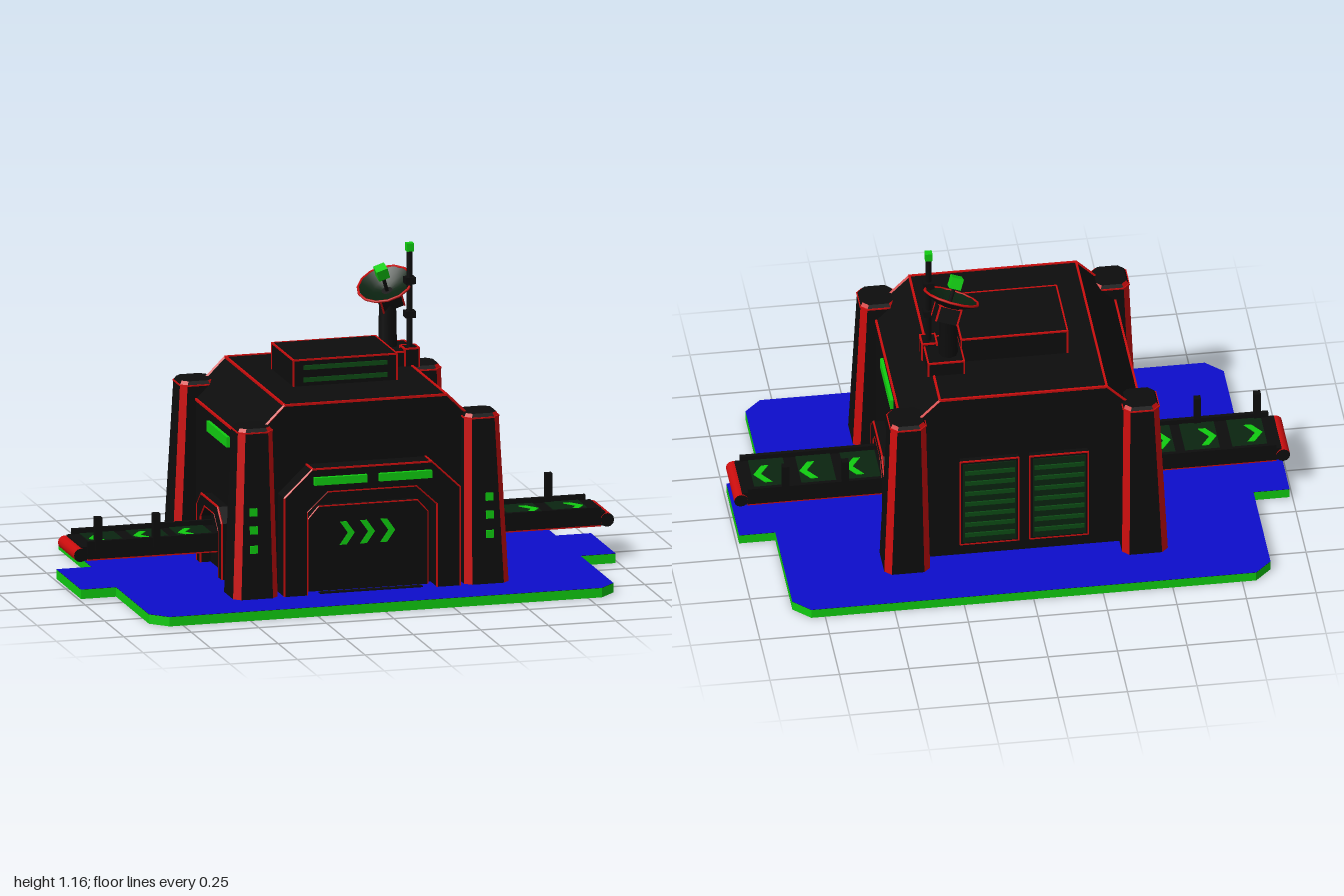
import * as THREE from 'three';

const mat = (name, color) => Object.assign(new THREE.MeshStandardMaterial({ color }), { name });
const V = (x, y, z) => new THREE.Vector3(x, y, z);

export function createModel() {
  const model = new THREE.Group();
  const black = mat('black', 0x0d0d0d), red = mat('red', 0xcc0d0d), green = mat('green', 0x10cc10);
  const blue = mat('blue', 0x0d0dcc), darkGreen = mat('dark green', 0x0a2410), midGreen = mat('mid green', 0x0c4a14);
  const dishGreen = mat('dish green', 0x0a2210);
  dishGreen.side = THREE.DoubleSide;

  const add = (name, geo, material, x = 0, y = 0, z = 0, parent = model) => {
    const m = new THREE.Mesh(geo, material);
    m.name = name;
    m.position.set(x, y, z);
    parent.add(m);
    return m;
  };
  const box = (name, w, h, d, material, x, y, z, parent) =>
    add(name, new THREE.BoxGeometry(w, h, d), material, x, y, z, parent);
  const group = (name, parent = model) => {
    const g = new THREE.Group();
    g.name = name;
    parent.add(g);
    return g;
  };
  // thin red trim along a run of points
  const trim = (name, pts, parent = model, closed = false, t = 0.008) => {
    for (let i = 0; i < pts.length - (closed ? 0 : 1); i++) {
      const a = pts[i], d = pts[(i + 1) % pts.length].clone().sub(a);
      const m = box(name, t, t, d.length() + t * 0.5, red, 0, 0, 0, parent);
      m.position.copy(a).addScaledVector(d, 0.5);
      m.quaternion.setFromUnitVectors(V(0, 0, 1), d.normalize());
    }
  };
  const boxTrim = (name, w, h, d, x, y, z, parent) => {
    const ring = (yy) => [[-1, -1], [1, -1], [1, 1], [-1, 1]].map(([a, b]) => V(x + a * w / 2, yy, z + b * d / 2));
    const top = ring(y + h / 2), low = ring(y - h / 2);
    trim(name, top, parent, true, 0.006);
    top.forEach((p, i) => trim(name, [p, low[i]], parent, false, 0.006));
  };
  const shape = (pts) => new THREE.Shape(pts.map((p) => new THREE.Vector2(p[0], p[1])));
  const prism = (pts, depth) => new THREE.ExtrudeGeometry(shape(pts), { depth, bevelEnabled: false });
  const arch = (w, h, cx, cy, y0 = 0.035) =>
    [[-w, y0], [-w, h - cy], [-w + cx, h], [w - cx, h], [w, h - cy], [w, y0]];
  const at = (pts, z) => pts.map((p) => V(p[0], p[1], z));
  const chevron = (w, h, s) =>
    prism([[0, h / 2], [s, h / 2], [w, 0], [s, -h / 2], [0, -h / 2], [w - s, 0]], 0.006);

  // base plate with side tabs
  const corner = [[0.99, 0.16], [0.86, 0.16], [0.86, 0.585], [0.8, 0.645]];
  const flip = (a, sx, sy) => a.map(([x, y]) => [x * sx, y * sy]);
  const plan = [...corner, ...flip(corner, -1, 1).reverse(), ...flip(corner, -1, -1), ...flip(corner, 1, -1).reverse()];
  add('basePlate', prism(plan, 0.034), [black, green]).rotation.x = -Math.PI / 2;
  add('baseTop', new THREE.ShapeGeometry(shape(plan)), blue, 0, 0.035, 0).rotation.x = -Math.PI / 2;

  // main hall
  const hall = [[-0.43, 0.035], [-0.43, 0.585], [-0.3, 0.715], [0.3, 0.715], [0.43, 0.585], [0.43, 0.035]];
  add('hall', prism(hall, 0.77), black, 0, 0, -0.385);
  for (const z of [-0.383, 0.383]) trim('roofEndTrim', at(hall.slice(1, 5), z));
  for (const [x, y] of hall.slice(1, 5)) trim('roofTrim', [V(x, y, -0.385), V(x, y, 0.385)]);

  // tapered corner pillars with red chamfers
  const pillar = (sx, sz) => {
    const ring = (y, x0, x1, z0, z1, c) =>
      [[x0 + c, z0], [x1 - c, z0], [x1, z0 + c], [x1, z1 - c], [x1 - c, z1], [x0 + c, z1], [x0, z1 - c], [x0, z0 + c]]
        .map(([x, z]) => V(x * sx, y, z * sz));
    const rings = [ring(0.035, 0.345, 0.51, 0.31, 0.475, 0.024), ring(0.635, 0.355, 0.483, 0.31, 0.44, 0.022),
      ring(0.65, 0.363, 0.475, 0.318, 0.432, 0.02)];
    const faces = [[], []];
    const tri = (k, a, b, c) => faces[k].push(...(sx * sz > 0 ? [a, b, c] : [a, c, b]));
    for (let r = 0; r < 2; r++) for (let i = 0; i < 8; i++) {
      const j = (i + 1) % 8, [a, b, c, d] = [rings[r][i], rings[r][j], rings[r + 1][j], rings[r + 1][i]];
      tri(i % 2, a, c, b);
      tri(i % 2, a, d, c);
    }
    for (let i = 1; i < 7; i++) tri(0, rings[2][0], rings[2][i + 1], rings[2][i]);
    faces.forEach((f, k) => {
      const g = new THREE.BufferGeometry().setFromPoints(f);
      g.computeVertexNormals();
      add(k ? 'pillarChamfers' : 'pillar', g, k ? red : black);
    });
    trim('pillarTopTrim', rings[1], model, true, 0.005);
  };
  for (const sx of [-1, 1]) for (const sz of [-1, 1]) pillar(sx, sz);
  for (const s of [-1, 1]) for (const y of [0.215, 0.285, 0.35])
    box('pillarLight', 0.028, 0.028, 0.012, green, s * 0.437, y, 0.475 - (y - 0.035) * 0.058);

  // portal frame, open towards the ground, facing +z
  const portal = (name, outer, inner, z0, depth, parent) => {
    add(name, prism([...outer, ...[...inner].reverse()], depth), black, 0, 0, z0, parent);
    trim(name + 'Trim', at(outer, z0 + depth - 0.002), parent, false, 0.006);
    trim(name + 'Trim', at(inner, z0 + depth - 0.002), parent, false, 0.005);
  };

  // front gate
  portal('gateFrame', arch(0.325, 0.495, 0.105, 0.1), arch(0.24, 0.41, 0.075, 0.07), 0.385, 0.085);
  for (const s of [-1, 1]) {
    trim('gateSlopeTrim', [V(s * 0.22, 0.495, 0.385), V(s * 0.22, 0.495, 0.47)], model, false, 0.006);
    box('gateLight', 0.195, 0.028, 0.02, green, s * 0.12, 0.453, 0.476);
  }
  const door = arch(0.222, 0.345, 0.04, 0.045);
  add('gateDoor', prism(door, 0.03), black, 0, 0, 0.385);
  trim('gateDoorTrim', at(door, 0.414), model, false, 0.004);
  for (const x of [-0.105, -0.03, 0.045]) add('gateChevron', chevron(0.055, 0.085, 0.025), green, x, 0.242, 0.412);
  box('gateThreshold', 0.38, 0.006, 0.02, black, 0, 0.037, 0.45);

  // side portals, wall lights and conveyors
  for (const s of [-1, 1]) {
    const side = group('sidePortal');
    side.rotation.y = s * Math.PI / 2;
    portal('sideFrame', arch(0.16, 0.29, 0.053, 0.05), arch(0.118, 0.255, 0.053, 0.05), 0.43, 0.04, side);
    box('wallLight', 0.26, 0.038, 0.02, green, 0, 0.53, 0.432, side);

    const belt = group('conveyor');
    belt.rotation.y = s > 0 ? 0 : Math.PI;
    box('conveyorBed', 0.54, 0.05, 0.2, black, 0.7, 0.15, 0, belt);
    for (const z of [-0.1, 0.1]) {
      box('conveyorRail', 0.52, 0.065, 0.014, black, 0.69, 0.162, z, belt);
      trim('conveyorTrim', [V(0.47, 0.127, z * 1.04), V(0.95, 0.127, z * 1.04)], belt, false, 0.005);
    }
    for (const x of [0.53, 0.69, 0.86]) box('beltPanel', 0.125, 0.004, 0.184, darkGreen, x, 0.176, 0, belt);
    for (const x of [0.525, 0.69, 0.855])
      add('beltChevron', chevron(0.06, 0.1, 0.026), green, x, 0.175, 0, belt).rotation.x = -Math.PI / 2;
    const roller = add('endRoller', new THREE.CylinderGeometry(0.025, 0.025, 0.21, 12), [red, black, black], 0.975, 0.146, 0, belt);
    roller.rotation.x = Math.PI / 2;
    for (const x of s > 0 ? [0.6, 0.815] : [0.695, 0.91])
      box('conveyorPost', 0.025, 0.12, 0.025, black, x, 0.222, -0.1, belt);
  }

  // louvred panels on the back wall
  for (const x of [-0.125, 0.125]) {
    box('louvreFrame', 0.21, 0.36, 0.03, black, x, 0.275, -0.395);
    trim('louvreTrim', [[-1, 0.095], [-1, 0.455], [1, 0.455], [1, 0.095]].map(([a, y]) => V(x + a * 0.105, y, -0.409)),
      model, true, 0.005);
    box('louvrePanel', 0.19, 0.34, 0.006, darkGreen, x, 0.275, -0.412);
    for (let i = 0; i < 7; i++) box('louvreSlat', 0.18, 0.016, 0.009, midGreen, x, 0.14 + i * 0.045, -0.416);
  }

  // roof unit
  box('roofUnit', 0.385, 0.1, 0.28, black, 0, 0.762, -0.02);
  boxTrim('roofUnitTrim', 0.382, 0.097, 0.278, 0, 0.762, -0.02);
  for (const y of [0.738, 0.783]) box('roofVent', 0.31, 0.016, 0.009, midGreen, 0, y, 0.122);

  // antenna
  box('mastFoot', 0.13, 0.055, 0.165, black, 0.255, 0.742, -0.15);
  boxTrim('mastFootTrim', 0.128, 0.053, 0.163, 0.255, 0.742, -0.15);
  box('antennaFoot', 0.055, 0.07, 0.06, black, 0.3, 0.745, -0.095);
  boxTrim('antennaFootTrim', 0.053, 0.068, 0.058, 0.3, 0.745, -0.095);
  add('antennaPole', new THREE.CylinderGeometry(0.011, 0.011, 0.38, 8), black, 0.3, 0.95, -0.096);
  for (const y of [0.9, 1.023]) box('antennaClamp', 0.038, 0.024, 0.038, black, 0.3, y, -0.096);
  box('antennaTip', 0.026, 0.03, 0.026, green, 0.3, 1.145, -0.096);

  // dish on its mast
  add('dishMast', new THREE.CylinderGeometry(0.031, 0.035, 0.19, 8), black, 0.24, 0.86, -0.172);
  const dish = group('dish');
  dish.position.set(0.226, 1.0, -0.155);
  dish.quaternion.setFromUnitVectors(V(0, 1, 0), V(-0.37, 1, 0.37).normalize());
  box('dishBracket', 0.08, 0.06, 0.08, black, 0, -0.06, 0, dish);
  boxTrim('dishBracketTrim', 0.079, 0.058, 0.079, 0, -0.06, 0, dish);
  const bowl = (k, y) => [[0.001, -0.035], [0.05, -0.025], [0.1, 0]].map(([r, h]) => new THREE.Vector2(r * k, h + y));
  add('dishBack', new THREE.LatheGeometry(bowl(1, -0.006), 14), black, 0, 0, 0, dish);
  add('dishFace', new THREE.LatheGeometry(bowl(0.97, 0.001), 14), dishGreen, 0, 0, 0, dish);
  add('dishRim', new THREE.TorusGeometry(0.1, 0.005, 5, 14), red, 0, 0, 0, dish).rotation.x = Math.PI / 2;
  add('dishFeedArm', new THREE.CylinderGeometry(0.007, 0.007, 0.08, 6), black, 0, 0.005, 0, dish);
  box('dishFeed', 0.042, 0.042, 0.042, green, 0, 0.055, 0, dish);

  return model;
}
